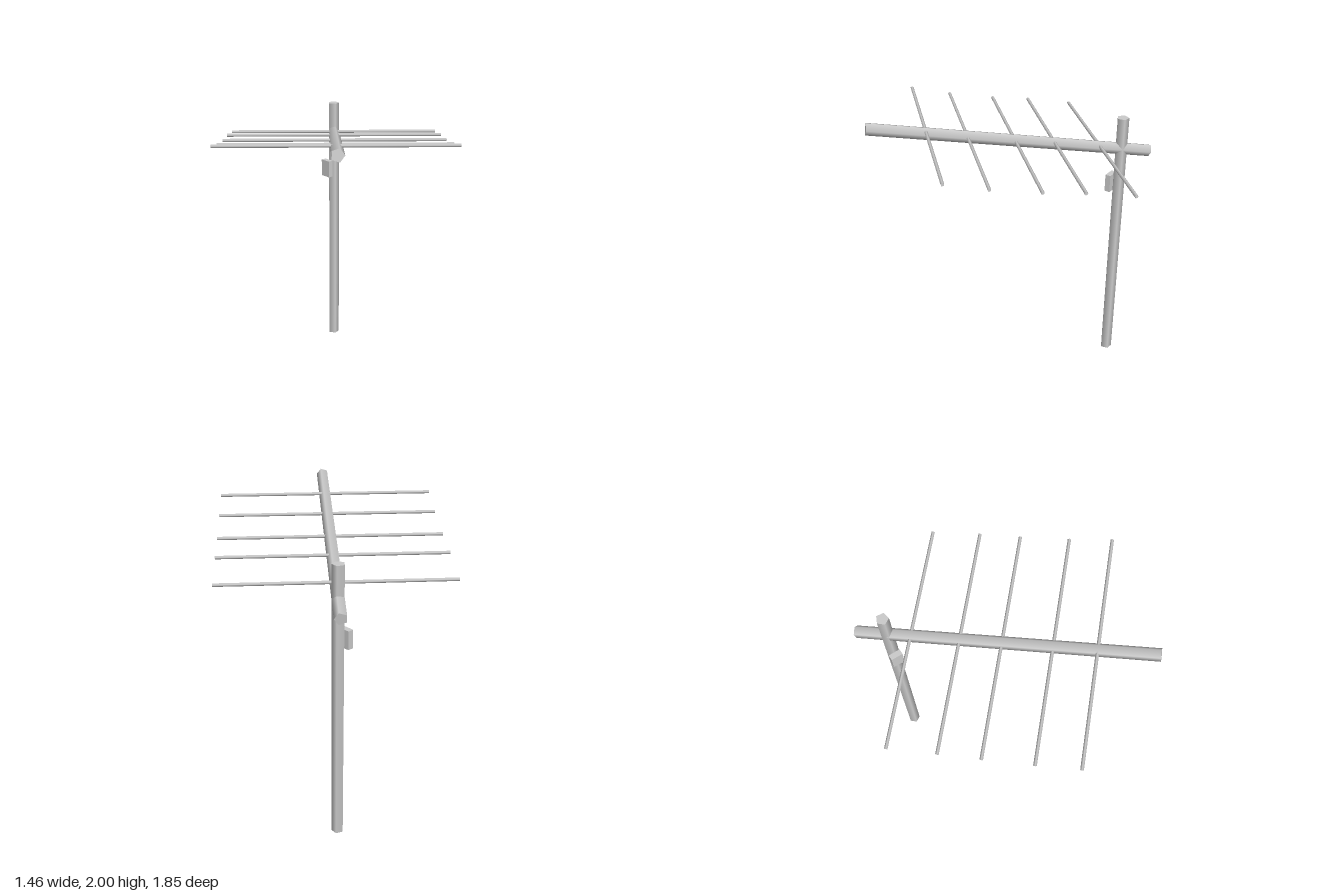
import * as THREE from 'three';

const metal = new THREE.MeshStandardMaterial({ color: 0xcccccc });

// Five-sided rod along y, with one corner facing +x
function rod(name, radius, length) {
  const geometry = new THREE.CylinderGeometry(radius, radius, length, 5, 1, false, Math.PI / 2);
  const mesh = new THREE.Mesh(geometry, metal);
  mesh.name = name;
  return mesh;
}

export function createModel() {
  const group = new THREE.Group();
  group.name = 'antenna';

  // Upright mast near the back
  const mast = rod('mast', 0.041, 1.88);
  mast.position.set(0, 0.94, -0.72);
  group.add(mast);

  // Boom rising towards the front
  const back = new THREE.Vector3(0, 1.63, -0.92);
  const front = new THREE.Vector3(0, 1.962, 0.92);
  const axis = front.clone().sub(back);
  const boom = rod('boom', 0.041, axis.length());
  boom.position.copy(back).add(front).multiplyScalar(0.5);
  boom.quaternion.setFromUnitVectors(new THREE.Vector3(0, 1, 0), axis.normalize());
  group.add(boom);

  // Crosswise elements: height and depth of each
  const elements = [[1.915, 0.56], [1.851, 0.302], [1.796, -0.003], [1.762, -0.26], [1.706, -0.566]];
  elements.forEach(([y, z], i) => {
    const element = rod('element' + (i + 1), 0.011, 1.456);
    element.rotation.z = Math.PI / 2;
    element.position.set(-0.002, y, z);
    group.add(element);
  });

  // Junction box turned towards the front right of the mast
  const box = new THREE.Mesh(new THREE.BoxGeometry(0.08, 0.122, 0.038), metal);
  box.name = 'junctionBox';
  box.position.set(-0.048, 1.397, -0.682);
  box.rotation.y = -0.85;
  group.add(box);

  return group;
}
